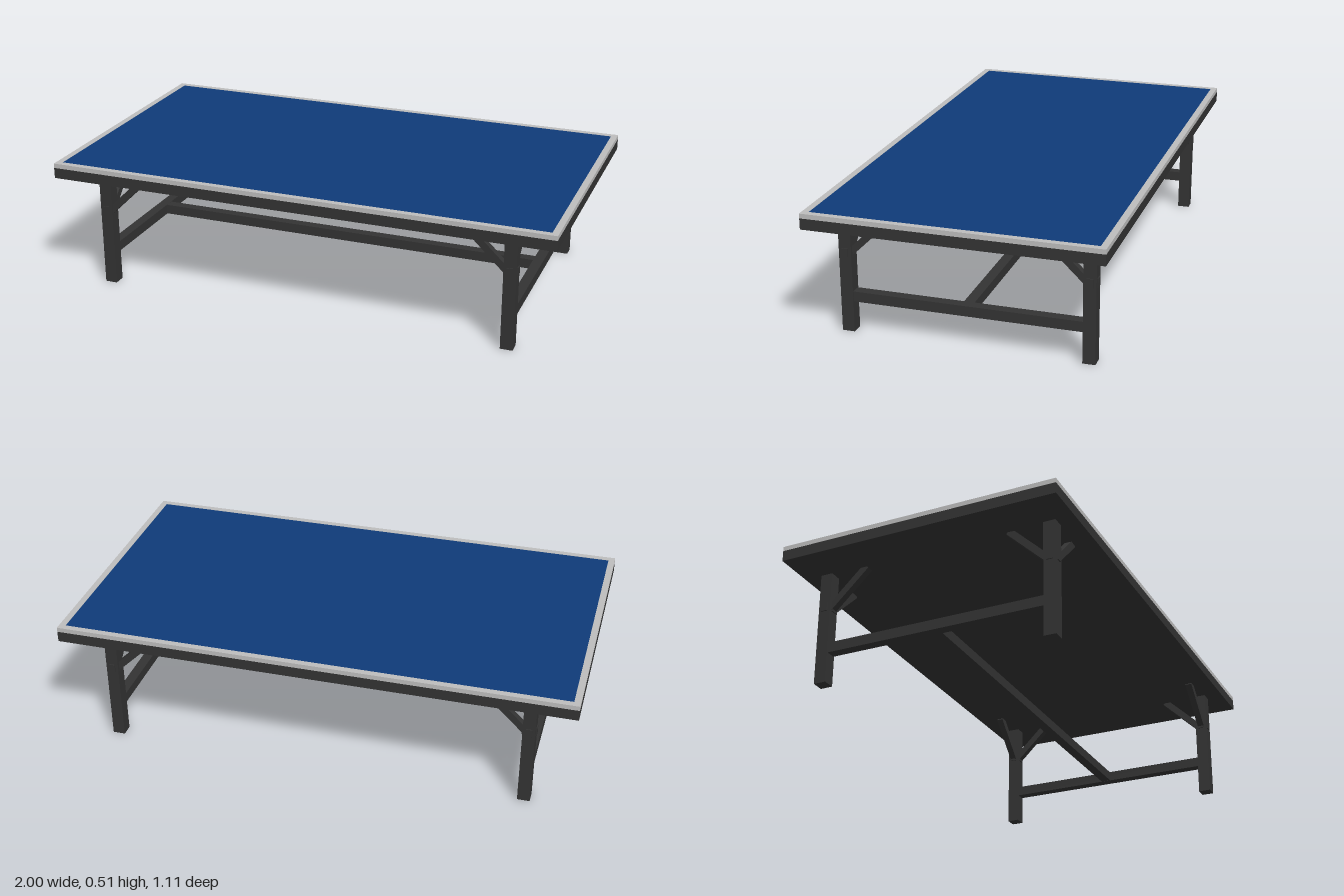
import * as THREE from 'three';

const material = (name, color) => {
  const m = new THREE.MeshStandardMaterial({ color });
  m.name = name;
  return m;
};

export function createModel() {
  const table = new THREE.Group();
  table.name = 'lowTable';
  const dark = material('charcoal', 0x333333);
  const grey = material('pale grey trim', 0xbdbdbd);
  const blue = material('deep blue', 0x0f3b78);

  const box = (name, size, pos, mat, parent = table) => {
    const mesh = new THREE.Mesh(new THREE.BoxGeometry(...size), mat);
    mesh.name = name;
    mesh.position.set(...pos);
    parent.add(mesh);
    return mesh;
  };

  // Square bar running from one point to another
  const bar = (name, from, to, thick, parent) => {
    const a = new THREE.Vector3(...from), b = new THREE.Vector3(...to);
    const mid = a.clone().add(b).multiplyScalar(0.5);
    box(name, [thick, thick, a.distanceTo(b)], mid.toArray(), dark, parent).lookAt(b);
  };

  // Table top: dark apron slab, pale rim and blue surface
  box('topSlab', [2, 0.042, 1.11], [0, 0.472, 0], dark);
  const rect = (path, w, d) => path.moveTo(-w, -d).lineTo(w, -d).lineTo(w, d).lineTo(-w, d).closePath();
  const rimShape = rect(new THREE.Shape(), 1, 0.555);
  rimShape.holes.push(rect(new THREE.Path(), 0.975, 0.53));
  const rim = new THREE.Mesh(
    new THREE.ExtrudeGeometry(rimShape, { depth: 0.018, bevelEnabled: false }), grey);
  rim.name = 'topRim';
  rim.rotation.x = -Math.PI / 2;
  rim.position.y = 0.493;
  table.add(rim);
  box('topSurface', [1.95, 0.017, 1.06], [0, 0.5015, 0], blue);

  // Legs, each with two diagonal braces whose ends show through the leg
  for (const sx of [-1, 1]) {
    for (const sz of [-1, 1]) {
      const corner = new THREE.Group();
      corner.name = 'legAssembly';
      table.add(corner);
      const x = sx * 0.82, z = sz * 0.46;
      box('leg', [0.048, 0.452, 0.048], [x, 0.226, z], dark, corner);
      bar('lengthwiseBrace', [x, 0.296, z], [sx * 0.655, 0.455, z], 0.027, corner);
      bar('crosswiseBrace', [x, 0.296, z], [x, 0.455, sz * 0.295], 0.027, corner);
      box('braceEnd', [0.056, 0.034, 0.024], [x, 0.312, z], dark, corner);
      box('braceEnd', [0.024, 0.034, 0.056], [x, 0.312, z], dark, corner);
    }
    box('endStretcher', [0.04, 0.04, 0.88], [sx * 0.82, 0.14, 0], dark);
  }

  // Long stretcher joining the two end stretchers
  box('longStretcher', [1.62, 0.039, 0.04], [0, 0.14, 0], dark);

  return table;
}
